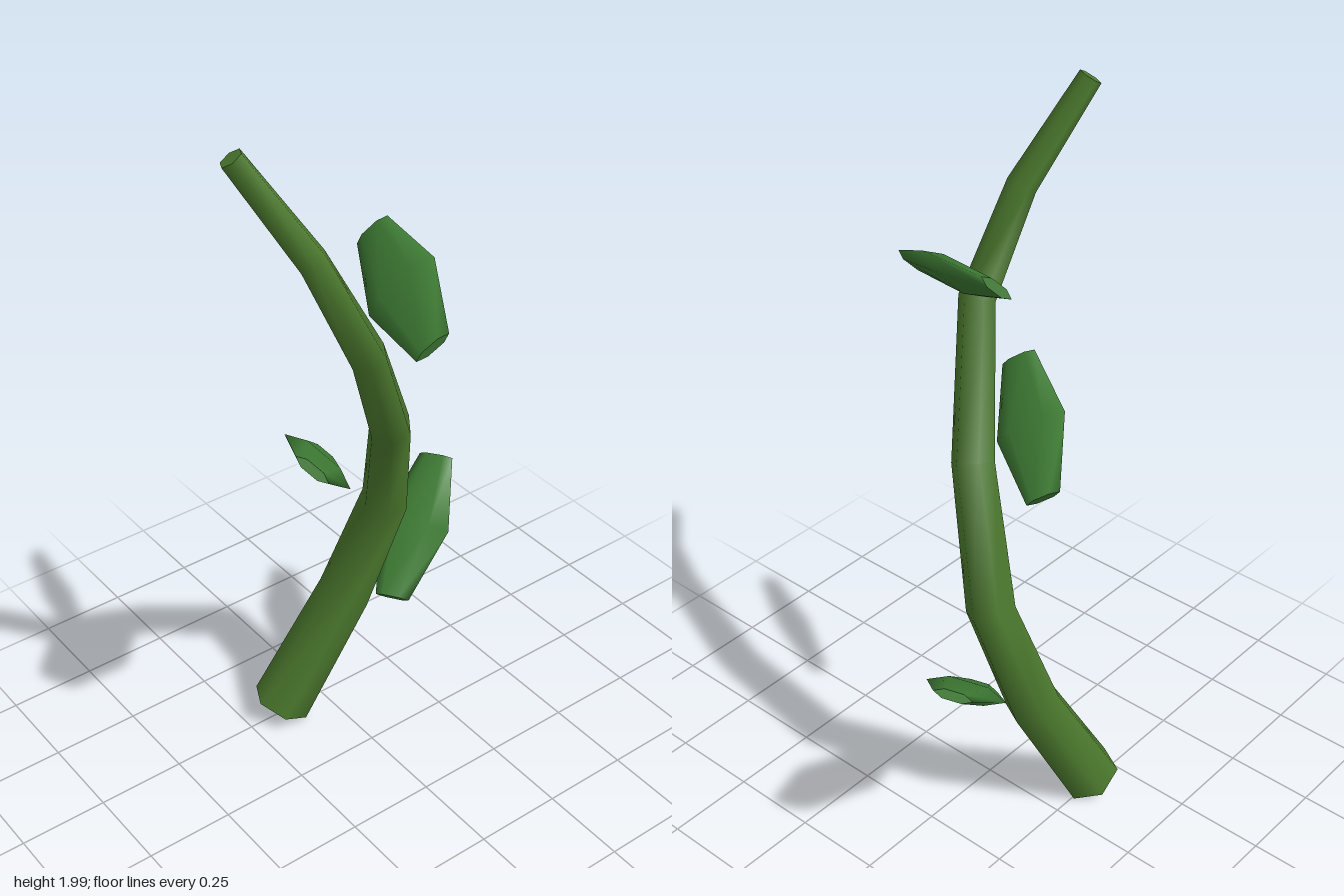
import * as THREE from 'three';

const SIDES = 6;

// Skins a list of elliptical rings {c, u, v} (v is u turned a quarter) and caps both ends.
function loft(rings) {
  const pos = [], idx = [];
  const addRing = ({ c, u, v }) => {
    const start = pos.length / 3;
    for (let i = 0; i < SIDES; i++) {
      const a = (i / SIDES) * Math.PI * 2;
      const p = c.clone().addScaledVector(u, Math.cos(a)).addScaledVector(v, Math.sin(a));
      pos.push(p.x, p.y, p.z);
    }
    return start;
  };
  const starts = rings.map(addRing);
  for (let r = 0; r < rings.length - 1; r++) {
    for (let i = 0; i < SIDES; i++) {
      const j = (i + 1) % SIDES;
      const a = starts[r] + i, b = starts[r] + j, c = starts[r + 1] + i, d = starts[r + 1] + j;
      idx.push(a, b, d, a, d, c);
    }
  }
  // separate cap vertices keep the end edges sharp
  const s = addRing(rings[0]), e = addRing(rings[rings.length - 1]);
  for (let i = 1; i < SIDES - 1; i++) {
    idx.push(s, s + i + 1, s + i, e, e + i, e + i + 1);
  }
  const geo = new THREE.BufferGeometry();
  geo.setAttribute('position', new THREE.Float32BufferAttribute(pos, 3));
  geo.setIndex(idx);
  geo.computeVertexNormals();
  return geo;
}

// Tapering crooked stem: x, y, z, radius
const STEM = [
  [-0.143, 0.05, -0.25, 0.086],
  [0.045, 0.41, -0.19, 0.076],
  [0.135, 0.74, -0.118, 0.067],
  [0.045, 1.09, 0.02, 0.058],
  [-0.135, 1.44, 0.163, 0.049],
  [-0.262, 1.72, 0.125, 0.04],
  [-0.41, 1.985, 0.033, 0.031],
];

function stemGeometry() {
  const pts = STEM.map(([x, y, z]) => new THREE.Vector3(x, y, z));
  const dir = (i) => pts[i + 1].clone().sub(pts[i]).normalize();
  const last = pts.length - 1;
  return loft(pts.map((c, i) => {
    const t = dir(Math.max(i - 1, 0)).add(dir(Math.min(i, last - 1))).normalize();
    const u = new THREE.Vector3(1, 0, 0);
    u.addScaledVector(t, -u.dot(t)).normalize();
    const v = t.clone().cross(u);
    const r = STEM[i][3];
    return { c, u: u.multiplyScalar(r), v: v.multiplyScalar(r) };
  }));
}

// Flat blunt leaf, widest in the middle
function leafGeometry(centre, along, across) {
  const mid = new THREE.Vector3(...centre);
  const len = new THREE.Vector3(...along);
  const t = len.clone().normalize();
  const u = new THREE.Vector3(...across);
  u.addScaledVector(t, -u.dot(t)).normalize();
  const v = t.clone().cross(u);
  return loft([[-0.5, 0.052, 0.014], [0, 0.108, 0.028], [0.5, 0.052, 0.014]].map(([k, w, h]) => ({
    c: mid.clone().addScaledVector(len, k),
    u: u.clone().multiplyScalar(w),
    v: v.clone().multiplyScalar(h),
  })));
}

// Leaves: name, centre, length vector, width direction
const LEAVES = [
  ['lowerLeaf', [0.268, 0.567, -0.15], [0.3, 0.26, -0.18], [0.09, 0.03, 0.19]],
  ['middleLeaf', [-0.19, 1.083, 0.025], [-0.235, 0.21, 0.285], [0.09, -0.12, 0.15]],
  ['upperLeaf', [-0.01, 1.57, 0.13], [-0.12, -0.105, 0.385], [0.14, 0.16, 0.07]],
];

export function createModel() {
  const group = new THREE.Group();
  group.name = 'leafyTwig';
  const add = (name, geometry, material) => {
    const mesh = new THREE.Mesh(geometry, material);
    mesh.name = name;
    group.add(mesh);
  };

  add('stem', stemGeometry(), new THREE.MeshStandardMaterial({ color: 0x4c7a2e }));

  const leafMaterial = new THREE.MeshStandardMaterial({ color: 0x3f7d35 });
  for (const [name, centre, along, across] of LEAVES) {
    add(name, leafGeometry(centre, along, across), leafMaterial);
  }
  return group;
}
